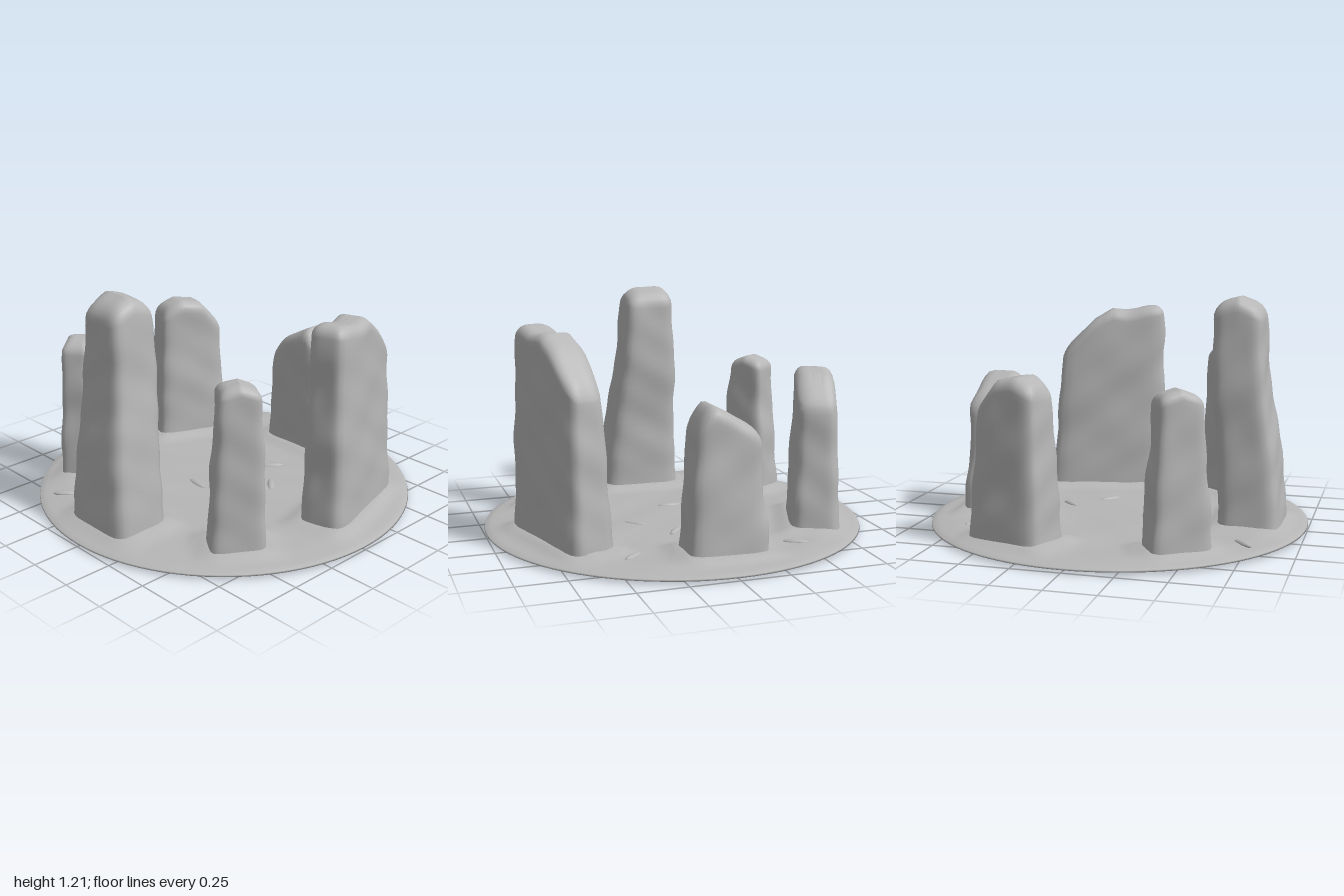
import * as THREE from 'three';
import { mergeVertices } from 'three/addons/utils/BufferGeometryUtils.js';

const { lerp, smoothstep, clamp } = THREE.MathUtils;

// Smooth weathering bumps, about -1 to 1
function bumps(x, y, z, seed) {
  return (Math.sin(9 * x + 5 * y + seed) * Math.cos(8 * z - 6 * y + seed * 2)
    + 0.8 * Math.sin(15 * y + 6 * z + seed * 3) * Math.cos(11 * x + seed)
    + 0.4 * Math.sin(27 * y + 19 * x - 17 * z + seed)) / 2;
}

// Each stone: centre, turn, half sizes at foot and crown, lean, and heights spaced along the crown
const STONES = [
  { name: 'frontSlab', at: [0.25, 0.66], turn: 0.28, foot: [0.335, 0.13], crown: [0.3, 0.1],
    lean: [-0.02, 0], heights: [1.1, 1.09, 1.06, 1.075, 1.02, 0.92, 0.83] },
  { name: 'leftTallStone', at: [-0.72, -0.02], turn: 0, foot: [0.16, 0.215], crown: [0.125, 0.13],
    lean: [0.07, -0.035], heights: [1.16, 1.21, 1.17] },
  { name: 'frontLeftStone', at: [-0.48, 0.585], turn: -0.6, foot: [0.14, 0.1], crown: [0.105, 0.08],
    lean: [0.01, 0], heights: [0.87, 0.895, 0.86] },
  { name: 'rightStone', at: [0.69, -0.03], turn: -Math.PI / 2, foot: [0.205, 0.13], crown: [0.165, 0.112],
    lean: [0, 0.015], heights: [0.62, 0.68, 0.73, 0.775, 0.68] },
  { name: 'backRightStone', at: [0.345, -0.665], turn: -0.35, foot: [0.225, 0.13], crown: [0.175, 0.1],
    lean: [-0.01, 0], heights: [0.8, 0.85, 0.83, 0.7] },
  { name: 'backLeftStone', at: [-0.455, -0.635], turn: 0.58, foot: [0.155, 0.105], crown: [0.11, 0.08],
    lean: [0, 0], heights: [0.78, 0.815, 0.78] },
];

// Rounded-rectangle rings stacked up to an uneven, softly rounded top
function stoneGeometry({ foot, crown, lean, heights }, seed) {
  const SEG = 48, SIDE = 26, ARC = 5, CAP = 4;
  const last = SIDE + ARC + CAP;
  const round = 0.6 * Math.min(...crown);
  const peakAt = u => {
    const k = clamp((u - lean[0]) / crown[0] / 2 + 0.5, 0, 1) * (heights.length - 1);
    const i = Math.min(Math.floor(k), heights.length - 2);
    return lerp(heights[i], heights[i + 1], k - i);
  };
  const pos = [], index = [];
  for (let i = 0; i <= last; i++) {
    const t = Math.min(1, i / SIDE);
    const arc = clamp((i - SIDE) / ARC, 0, 1) * Math.PI / 2;
    const scale = Math.min(1, (last - i) / CAP);
    const inset = round * (1 - Math.cos(arc));
    const shift = smoothstep(t, 0.1, 0.9);
    for (let j = 0; j < SEG; j++) {
      const a = (j / SEG) * Math.PI * 2, c = Math.cos(a), s = Math.sin(a);
      const r = Math.pow(Math.abs(c) ** 6 + Math.abs(s) ** 6, -1 / 6) * scale;
      let u = lean[0] * shift + c * r * (lerp(foot[0], crown[0], t) - inset);
      let v = lean[1] * shift + s * r * (lerp(foot[1], crown[1], t) - inset);
      let y = 0.02 + t * (peakAt(u) - round - 0.02) + round * Math.sin(arc);
      const n = 0.014 * bumps(u, y, v, seed) * Math.min(1, y * 5);
      u += c * n * scale;
      v += s * n * scale * 0.7;
      if (arc > 0) y += n * 0.5;
      pos.push(u, y, v);
      if (i === last) continue;
      const p = i * SEG + j, q = i * SEG + (j + 1) % SEG;
      index.push(p, p + SEG, q, q, p + SEG, q + SEG);
    }
  }
  const g = new THREE.BufferGeometry();
  g.setAttribute('position', new THREE.Float32BufferAttribute(pos, 3));
  g.setIndex(index);
  g.computeVertexNormals();
  return g;
}

// Thin round ground, banked up around each stone
function groundGeometry() {
  const profile = [[0, 0], [0.75, 0.003], [1, 0.014], [0.997, 0.022]].map(p => new THREE.Vector2(...p));
  for (let i = 1; i <= 32; i++) profile.push(new THREE.Vector2(0.997 * (1 - i / 32), 0.036));
  let g = new THREE.LatheGeometry(profile, 96);
  const p = g.attributes.position;
  for (let i = 0; i < p.count; i++) {
    if (p.getY(i) < 0.03) continue;
    const x = p.getX(i), z = p.getZ(i);
    const fade = Math.min(1, (1 - Math.hypot(x, z)) / 0.15);
    let y = 0.026 + 0.014 * fade + 0.005 * fade * bumps(x, 0, z, 4);
    for (const { at, turn, foot } of STONES) {
      const dx = x - at[0], dz = z - at[1], c = Math.cos(turn), s = Math.sin(turn);
      const u = Math.max(0, Math.abs(dx * c - dz * s) - foot[0]);
      const v = Math.max(0, Math.abs(dx * s + dz * c) - foot[1]);
      y += 0.025 * fade * Math.exp(-(u * u + v * v) / 0.002);
    }
    p.setY(i, y);
  }
  g.deleteAttribute('uv');
  g.deleteAttribute('normal');
  g = mergeVertices(g, 1e-5);
  g.computeVertexNormals();
  return g;
}

export function createModel() {
  const model = new THREE.Group();
  model.name = 'stoneCircle';
  const stoneGrey = new THREE.MeshStandardMaterial({ color: 0xb6b6b6 });
  stoneGrey.name = 'stoneGrey';
  const add = (name, geometry) => {
    const mesh = new THREE.Mesh(geometry, stoneGrey);
    mesh.name = name;
    model.add(mesh);
    return mesh;
  };

  add('ground', groundGeometry());

  STONES.forEach((stone, i) => {
    const mesh = add(stone.name, stoneGeometry(stone, 1 + i * 1.4));
    mesh.position.set(stone.at[0], 0, stone.at[1]);
    mesh.rotation.y = stone.turn;
  });

  // Low shards lying on the ground: x, z, turn
  const shardShape = new THREE.SphereGeometry(0.5, 10, 6).scale(0.14, 0.03, 0.04);
  for (const [x, z, turn] of [[0.66, -0.43, 1.1], [-0.74, -0.44, -0.8], [0.12, 0.24, 0.8],
    [-0.16, -0.04, 1.5], [0.62, 0.4, -0.9], [0.3, 0.08, -0.7]]) {
    const shard = add('shard', shardShape);
    shard.position.set(x, 0.038, z);
    shard.rotation.y = turn;
  }
  return model;
}
